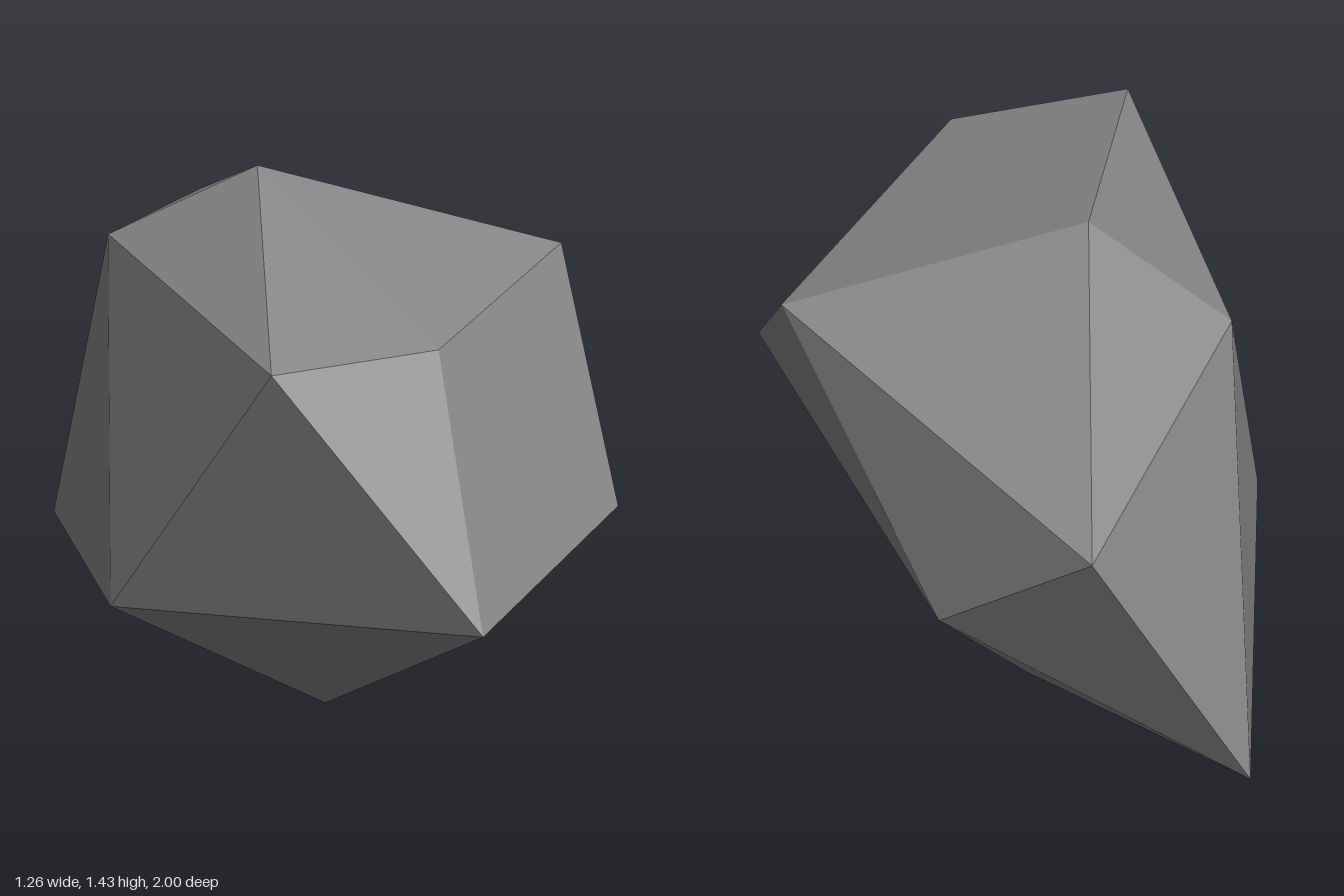
import * as THREE from 'three';

// A faceted boulder: a skewed icosahedron made of two offset five-point rings and two tips
const TOP = [-0.01, 1.435, -0.17];
const BOTTOM = [0.07, 0, -0.01];
const UPPER = [
  [-0.2, 1.215, 0.65], [0.605, 1.18, 0.3], [0.535, 1.015, -0.9],
  [-0.22, 1.22, -0.49], [-0.63, 1.22, 0.48],
];
const LOWER = [
  [0.3, 0.69, 0.795], [0.628, 0.6, -0.385], [0.11, 0.235, -1],
  [-0.557, 0.4, -0.155], [-0.4, 0.59, 1],
];

function boulderGeometry() {
  const points = [];
  const tri = (a, b, c) => points.push(...a, ...b, ...c);
  const n = UPPER.length;
  for (let i = 0; i < n; i++) {
    const j = (i + 1) % n;
    tri(TOP, UPPER[i], UPPER[j]);         // crown
    tri(UPPER[i], LOWER[i], UPPER[j]);    // band pointing down
    tri(LOWER[i], LOWER[j], UPPER[j]);    // band pointing up
    tri(BOTTOM, LOWER[j], LOWER[i]);      // underside
  }
  const geometry = new THREE.BufferGeometry();
  geometry.setAttribute('position', new THREE.Float32BufferAttribute(points, 3));
  geometry.computeVertexNormals();        // unshared corners give flat facets
  return geometry;
}

export function createModel() {
  const stone = new THREE.MeshStandardMaterial({ color: 0x888888 });
  stone.name = 'stone grey';
  stone.flatShading = true;

  const boulder = new THREE.Mesh(boulderGeometry(), stone);
  boulder.name = 'boulder';

  const model = new THREE.Group();
  model.name = 'rock';
  model.add(boulder);
  return model;
}
